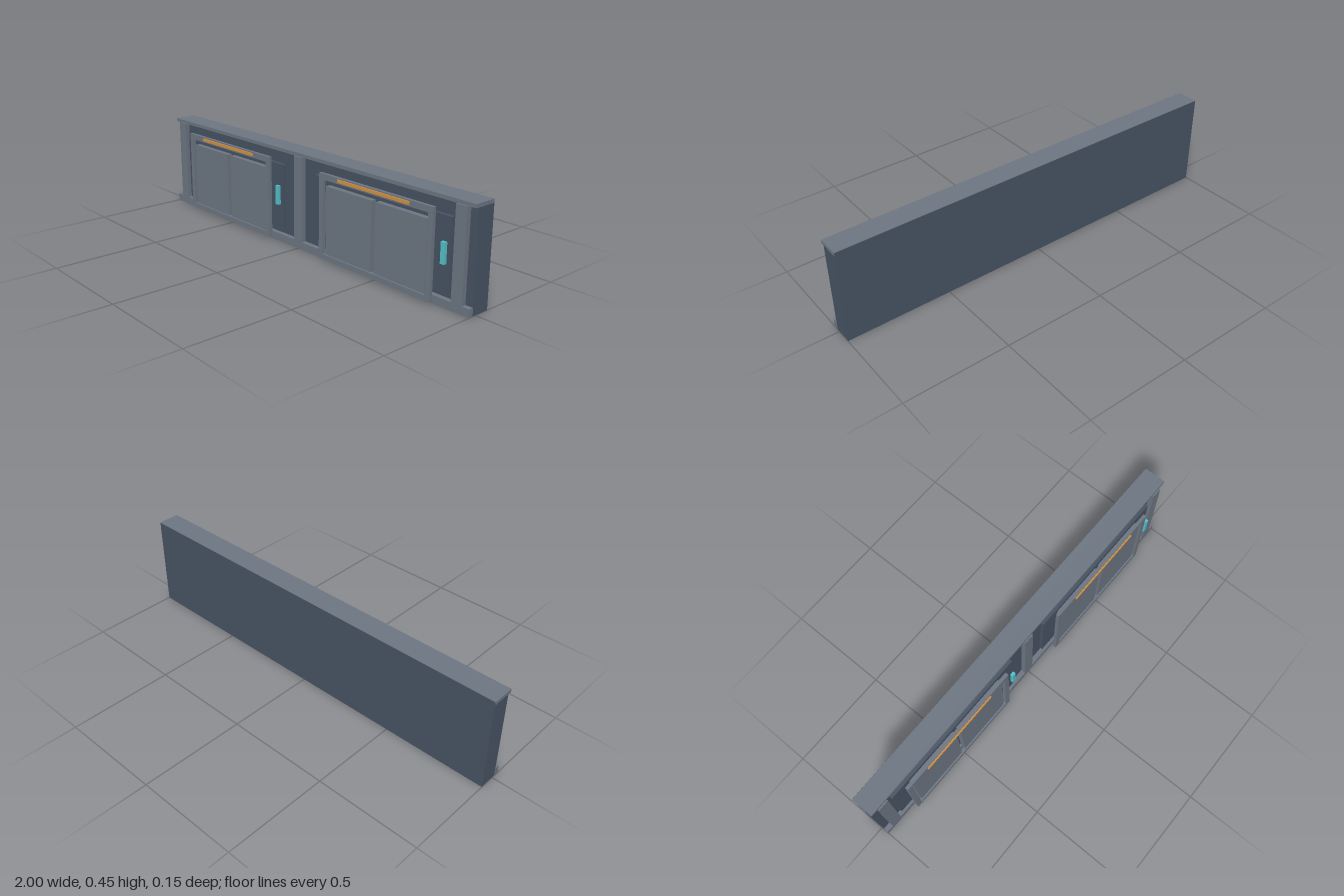
import * as THREE from 'three';

const mat = (name, color) => {
  const m = new THREE.MeshStandardMaterial({ color });
  m.name = name;
  return m;
};

export function createModel() {
  const lightGrey = mat('light grey', 0x6b7480);
  const darkGrey = mat('dark slate', 0x465262);
  const teal = mat('teal light', 0x52bfc6);
  const amber = mat('amber light', 0xcf9040);

  const model = new THREE.Group();
  model.name = 'wallSection';

  // Box given by its extents on each axis
  const box = (parent, name, material, [x0, x1], [y0, y1], [z0, z1]) => {
    const mesh = new THREE.Mesh(new THREE.BoxGeometry(x1 - x0, y1 - y0, z1 - z0), material);
    mesh.position.set((x0 + x1) / 2, (y0 + y1) / 2, (z0 + z1) / 2);
    mesh.name = name;
    parent.add(mesh);
  };

  // Wall body with top trim and base strip
  box(model, 'wall', darkGrey, [-0.999, 0.999], [0, 0.452], [-0.073, 0.018]);
  box(model, 'topTrim', lightGrey, [-1, 1], [0.438, 0.454], [-0.072, 0.034]);
  box(model, 'baseStrip', lightGrey, [-1, 1], [0, 0.037], [0.017, 0.041]);

  // Vertical pillars
  for (const x of [-0.937, 0, 0.937]) {
    box(model, 'pillar', lightGrey, [x - 0.027, x + 0.027], [0.037, 0.438], [0.018, 0.041]);
  }

  // Two identical door bays
  for (const x of [-0.5, 0.5]) {
    const bay = new THREE.Group();
    bay.name = 'doorBay';
    bay.position.x = x;
    model.add(bay);

    box(bay, 'backPanel', darkGrey, [-0.39, 0.39], [0.065, 0.377], [0.018, 0.034]);

    // Sliding door leaves
    box(bay, 'doorLeaf', lightGrey, [-0.29, -0.012], [0.037, 0.351], [0.034, 0.06]);
    box(bay, 'doorLeaf', lightGrey, [0.012, 0.29], [0.037, 0.351], [0.034, 0.06]);

    // Raised frame around the leaves
    const shape = new THREE.Shape([[-0.325, 0.013], [0.325, 0.013], [0.325, 0.407], [-0.325, 0.407]]
      .map(p => new THREE.Vector2(...p)));
    shape.holes.push(new THREE.Path([[-0.3, 0.037], [-0.3, 0.38], [0.3, 0.38], [0.3, 0.037]]
      .map(p => new THREE.Vector2(...p))));
    const frame = new THREE.Mesh(
      new THREE.ExtrudeGeometry(shape, { depth: 0.016, bevelEnabled: false }), lightGrey);
    frame.position.z = 0.052;
    frame.name = 'doorFrame';
    bay.add(frame);

    // Light strip over the door and control light beside it
    box(bay, 'lightStrip', amber, [-0.204, 0.204], [0.388, 0.402], [0.068, 0.074]);
    box(bay, 'controlLight', teal, [0.362, 0.382], [0.187, 0.278], [0.045, 0.06]);
  }

  return model;
}
